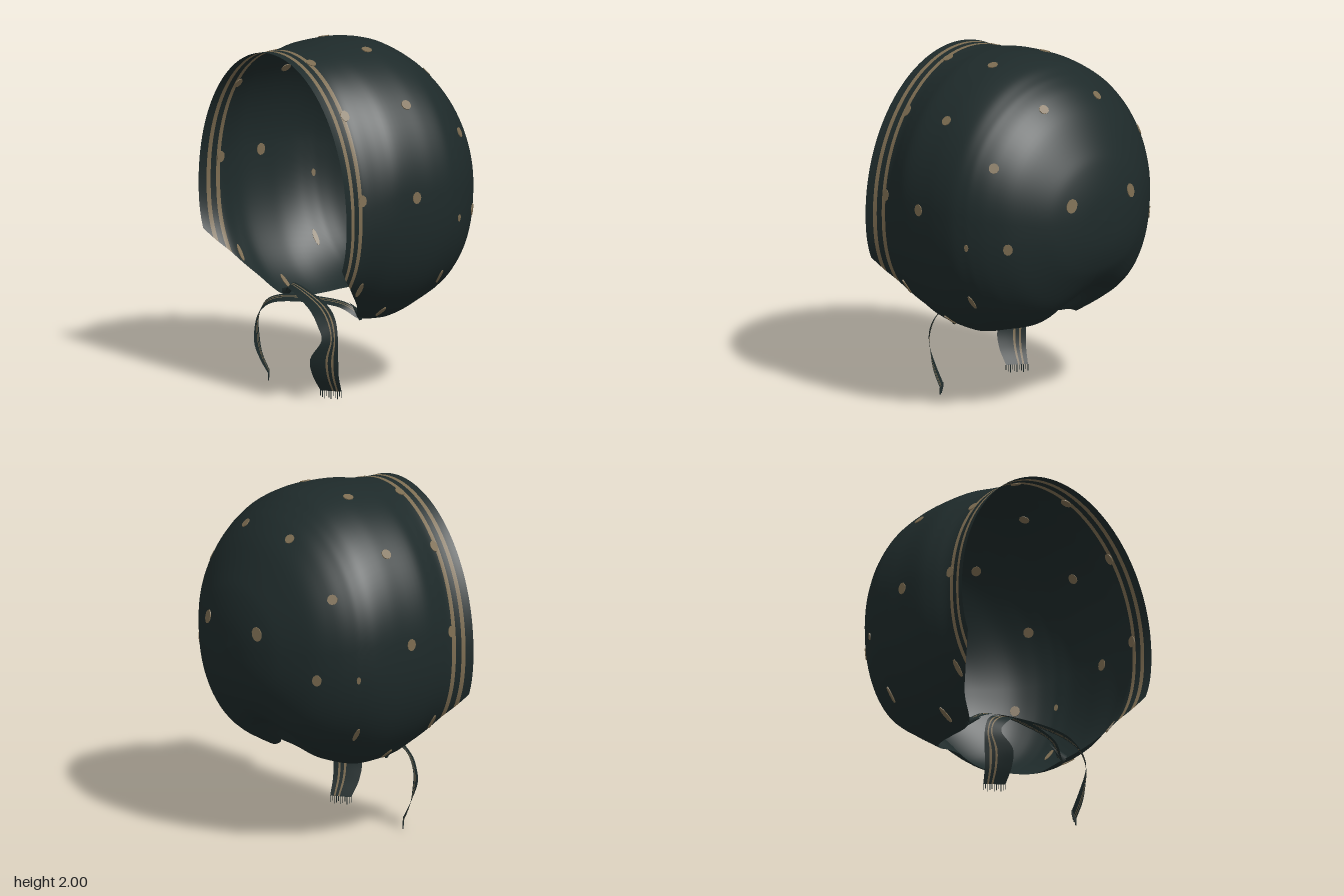
import * as THREE from 'three';

const cloth = new THREE.MeshStandardMaterial({ color: 0x1e2a2a, side: THREE.DoubleSide });
cloth.name = 'dark green cloth';
const gold = new THREE.MeshStandardMaterial({ color: 0x7c6c51, side: THREE.DoubleSide });
gold.name = 'dull gold';

// Hood cross-sections, front to back: z, half width, top, middle, bottom, half width of the neck gap
const rows = [
  [0.6, 0.725, 1.97, 1.1, 0.5, 0.68], [0.55, 0.71, 1.97, 1.11, 0.48, 0.64],
  [0.46, 0.70, 1.97, 1.14, 0.46, 0.57], [0.36, 0.735, 1.98, 1.18, 0.44, 0.486],
  [0.26, 0.76, 1.995, 1.22, 0.4, 0.362], [0.1, 0.765, 2.0, 1.22, 0.385, 0.35],
  [0, 0.765, 1.99, 1.22, 0.4, 0.33], [-0.1, 0.755, 1.965, 1.22, 0.44, 0.27],
  [-0.17, 0.73, 1.93, 1.22, 0.465, 0.17], [-0.22, 0.705, 1.9, 1.21, 0.485, 0],
  [-0.3, 0.65, 1.84, 1.2, 0.525, 0], [-0.4, 0.555, 1.73, 1.19, 0.61, 0],
  [-0.5, 0.405, 1.56, 1.17, 0.77, 0], [-0.55, 0.295, 1.45, 1.16, 0.87, 0],
  [-0.585, 0.16, 1.31, 1.15, 0.99, 0], [-0.6, 0, 1.15, 1.15, 1.15, 0],
];
const spline = (list, k) => new THREE.CatmullRomCurve3(
  list.map((r) => new THREE.Vector3(r[k], r[k + 1], r[k + 2])), false, 'catmullrom', 0.5);
const curveA = spline(rows, 0), curveB = spline(rows, 3);
const FULL = 2.4; // fullness of the lower half

function section(v) {
  const a = curveA.getPoint(v), b = curveB.getPoint(v);
  const w = Math.max(a.y, 0), gap = Math.min(Math.max(b.z, 0), w);
  const open = w > 0 ? Math.asin(Math.pow(gap / w, FULL / 2)) : 0;
  return { z: a.x, w, top: a.z, mid: b.x, bot: b.y, end: Math.PI - open };
}

// Point on the hood; phi runs from 0 at the crown to PI under the neck
function hoodPoint(s, phi) {
  const c = Math.cos(phi), sn = Math.sin(phi);
  const e = c < 0 ? 2 / FULL : 1;
  const x = s.w * Math.sign(sn) * Math.pow(Math.abs(sn), e);
  if (c >= 0) return new THREE.Vector3(x, s.mid + (s.top - s.mid) * c, s.z);
  // The gathered nape is pushed inward a little to one side
  const dent = 0.15 * Math.exp(-(((x + 0.1) / 0.2) ** 2) - ((s.z + 0.32) / 0.13) ** 2);
  const depth = Math.pow(-c, e);
  return new THREE.Vector3(x, s.mid - (s.mid - s.bot) * depth + dent * depth * depth, s.z);
}

function vAtZ(z) {
  let lo = 0, hi = 1;
  for (let i = 0; i < 30; i++) {
    const m = (lo + hi) / 2;
    if (curveA.getPoint(m).x > z) lo = m; else hi = m;
  }
  return (lo + hi) / 2;
}

// Sheet from rows of points; materialOf(row, column) picks the colour of each cell
function sheet(grid, materialOf) {
  const n = grid[0].length, lists = [[], []];
  for (let i = 0; i < grid.length - 1; i++) {
    for (let j = 0; j < n - 1; j++) {
      const a = i * n + j, b = a + n;
      lists[materialOf(i, j)].push(a, b, a + 1, a + 1, b, b + 1);
    }
  }
  const g = new THREE.BufferGeometry().setFromPoints(grid.flat());
  g.setIndex(lists.flat());
  g.addGroup(0, lists[0].length, 0);
  g.addGroup(lists[0].length, lists[1].length, 1);
  g.computeVertexNormals();
  return new THREE.Mesh(g, [cloth, gold]);
}

function buildHood() {
  // Front border: edge, stripe, gap, stripe, then the body
  const bands = [[0.6, 2], [0.555, 2], [0.53, 2], [0.496, 2], [0.47, 70], [-0.6, 0]];
  const vs = [], colours = [];
  bands.forEach(([z, steps], k) => {
    if (!steps) return;
    const v0 = k === 0 ? 0 : vAtZ(z), v1 = k === 4 ? 1 : vAtZ(bands[k + 1][0]);
    for (let i = 0; i < steps; i++) {
      vs.push(v0 + (v1 - v0) * i / steps);
      colours.push(k === 1 || k === 3 ? 1 : 0);
    }
  });
  vs.push(1);
  const N = 96;
  const grid = vs.map((v) => {
    const s = section(v);
    return Array.from({ length: N + 1 }, (_, j) => hoodPoint(s, s.end * (j / N * 2 - 1)));
  });
  const hood = sheet(grid, (i) => colours[i]);
  hood.name = 'hood';
  return hood;
}

// Thin spot lying on the hood; long stretches it down the side
function buildSpot(x, y, z, r, long) {
  const v = vAtZ(z), s = section(v);
  const h = y > s.mid ? s.top - s.mid : s.mid - s.bot;
  const phi = Math.atan2(x / s.w, (y - s.mid) / h);
  const p = hoodPoint(s, phi);
  const along = hoodPoint(s, phi + 0.02).sub(hoodPoint(s, phi - 0.02)).normalize();
  const back = hoodPoint(section(v + 0.005), phi).sub(hoodPoint(section(v - 0.005), phi));
  const normal = new THREE.Vector3().crossVectors(back, along).normalize();
  const side = new THREE.Vector3().crossVectors(along, normal);
  const spot = new THREE.Mesh(new THREE.CylinderGeometry(r, r, 0.009, 10), gold);
  spot.quaternion.setFromRotationMatrix(new THREE.Matrix4().makeBasis(along, normal, side));
  spot.scale.set(long, 1, 1);
  spot.position.copy(p);
  spot.name = 'spot';
  return spot;
}

// Ribbon from one chin corner, across the front, hanging on the other side
function buildTie(side, lift) {
  // centre x, y, z, then half-width vector x, y, z
  const path = [
    [-0.35, 0.48, 0.24, 0, 0.012, -0.02], [-0.24, 0.535, 0.3, 0, 0.012, -0.025],
    [0, 0.53, 0.37, 0.01, 0.012, -0.04], [0.2, 0.5, 0.42, 0.02, 0.015, -0.045],
    [0.31, 0.44, 0.445, 0.03, 0.02, -0.04], [0.355, 0.35, 0.455, 0.032, 0.005, -0.035],
    [0.33, 0.24, 0.475, 0.055, 0, -0.058], [0.315, 0.14, 0.455, 0.058, 0, -0.05],
    [0.305, 0.045, 0.41, 0.05, 0, -0.038],
  ];
  const mid = spline(path, 0), half = spline(path, 3);
  const across = [-1, -0.4, 0.1, 0.26, 0.5, 0.66, 1];
  const at = (t, u) => {
    const p = mid.getPoint(t).addScaledVector(half.getPoint(t), u);
    p.x *= side;
    p.y += lift * (1 - t);
    return p;
  };
  const grid = Array.from({ length: 49 }, (_, i) => across.map((u) => at(i / 48, u)));
  const group = new THREE.Group();
  const ribbon = sheet(grid, (i, j) => (j === 2 || j === 4 ? 1 : 0));
  ribbon.name = 'ribbon';
  group.add(ribbon);
  // Frayed end
  for (let i = 0; i < 11; i++) {
    const length = 0.03 + 0.008 * (i % 3);
    const thread = new THREE.Mesh(new THREE.BoxGeometry(0.003, length, 0.003), cloth);
    thread.position.copy(at(1, i / 5 - 1));
    thread.position.y -= length / 2 - 0.001;
    thread.name = 'fringe';
    group.add(thread);
  }
  // Gathered cloth at the chin corner
  const gather = new THREE.Mesh(new THREE.ConeGeometry(0.03, 0.13, 6), cloth);
  gather.position.set(-side * 0.32, 0.5, 0.25);
  gather.rotation.z = side * -1.1;
  gather.scale.z = 0.5;
  gather.name = 'gather';
  group.add(gather);
  group.name = side > 0 ? 'leftTie' : 'rightTie';
  return group;
}

export function createModel() {
  const model = new THREE.Group();
  model.name = 'bonnet';
  model.add(buildHood());

  // x, y, z, radius, stretch
  const spots = [
    [0.225, 1.82, -0.315, 0.029, 1], [0.585, 1.51, -0.283, 0.03, 1], [0.25, 1.28, -0.56, 0.034, 1.25],
    [0.53, 1.09, -0.38, 0.028, 1.2], [0.21, 1.97, 0.095, 0.03, 1], [0.59, 1.72, 0.09, 0.03, 1],
    [0.76, 1.22, 0.14, 0.028, 1.25], [0.72, 1.09, -0.19, 0.012, 1.8], [0.4, 0.57, 0.18, 0.014, 4],
    [0.6, 0.69, 0.41, 0.014, 4], [0.19, 1.93, 0.468, 0.026, 1.3], [0.53, 1.7, 0.468, 0.026, 1.3],
    [0.7, 1.23, 0.468, 0.026, 1.3], [0.6, 0.72, -0.13, 0.013, 4],
  ];
  for (const side of [1, -1]) {
    for (const [x, y, z, r, long] of spots) model.add(buildSpot(side * x, y, z, r, long));
    model.add(buildTie(side, side > 0 ? 0.012 : -0.012));
  }
  return model;
}
